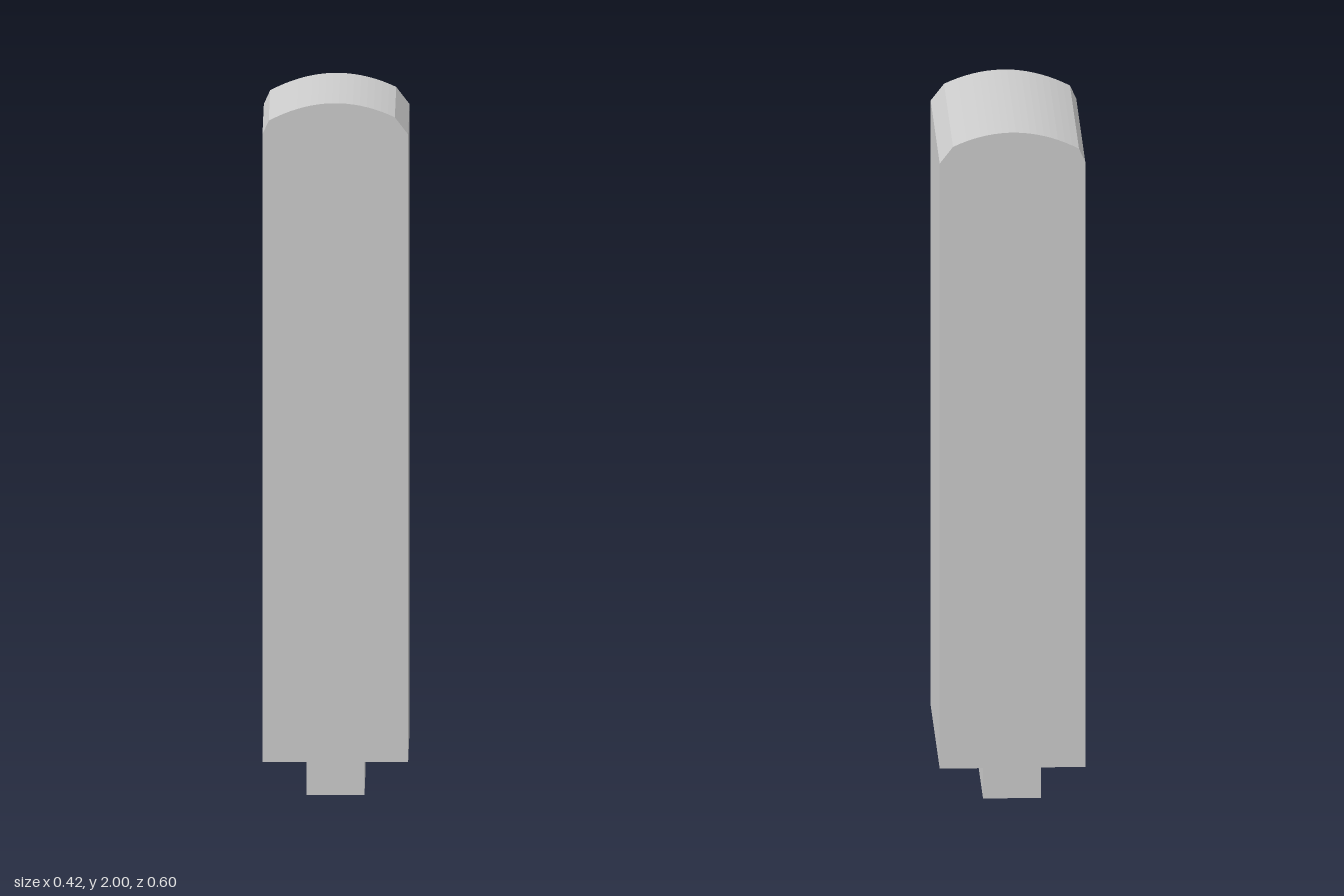
import * as THREE from 'three';

const material = new THREE.MeshStandardMaterial({ color: 0xcccccc });

// Upright slab with a shallow domed top, extruded front to back
function makeBody() {
  const halfW = 0.208, bottom = 0.1, shoulder = 1.91, top = 2, depth = 0.604;
  const right = 0.17, left = -0.19, steps = 18;
  const shape = new THREE.Shape();
  shape.moveTo(-halfW, bottom);
  shape.lineTo(halfW, bottom);
  shape.lineTo(halfW, shoulder);
  // crown between the two bevelled shoulders
  for (let i = 0; i <= steps; i++) {
    const x = right + (left - right) * i / steps;
    shape.lineTo(x, top - 1.4 * x * x);
  }
  shape.lineTo(-halfW, shoulder);
  shape.closePath();
  const geometry = new THREE.ExtrudeGeometry(shape, { depth, bevelEnabled: false });
  geometry.translate(0, 0, -depth / 2);
  const body = new THREE.Mesh(geometry, material);
  body.name = 'body';
  return body;
}

// Narrow foot block under the slab
function makeFoot() {
  const foot = new THREE.Mesh(new THREE.BoxGeometry(0.166, 0.1, 0.546), material);
  foot.position.y = 0.05;
  foot.name = 'foot';
  return foot;
}

export function createModel() {
  const model = new THREE.Group();
  model.name = 'domedSlab';
  model.add(makeBody(), makeFoot());
  return model;
}
